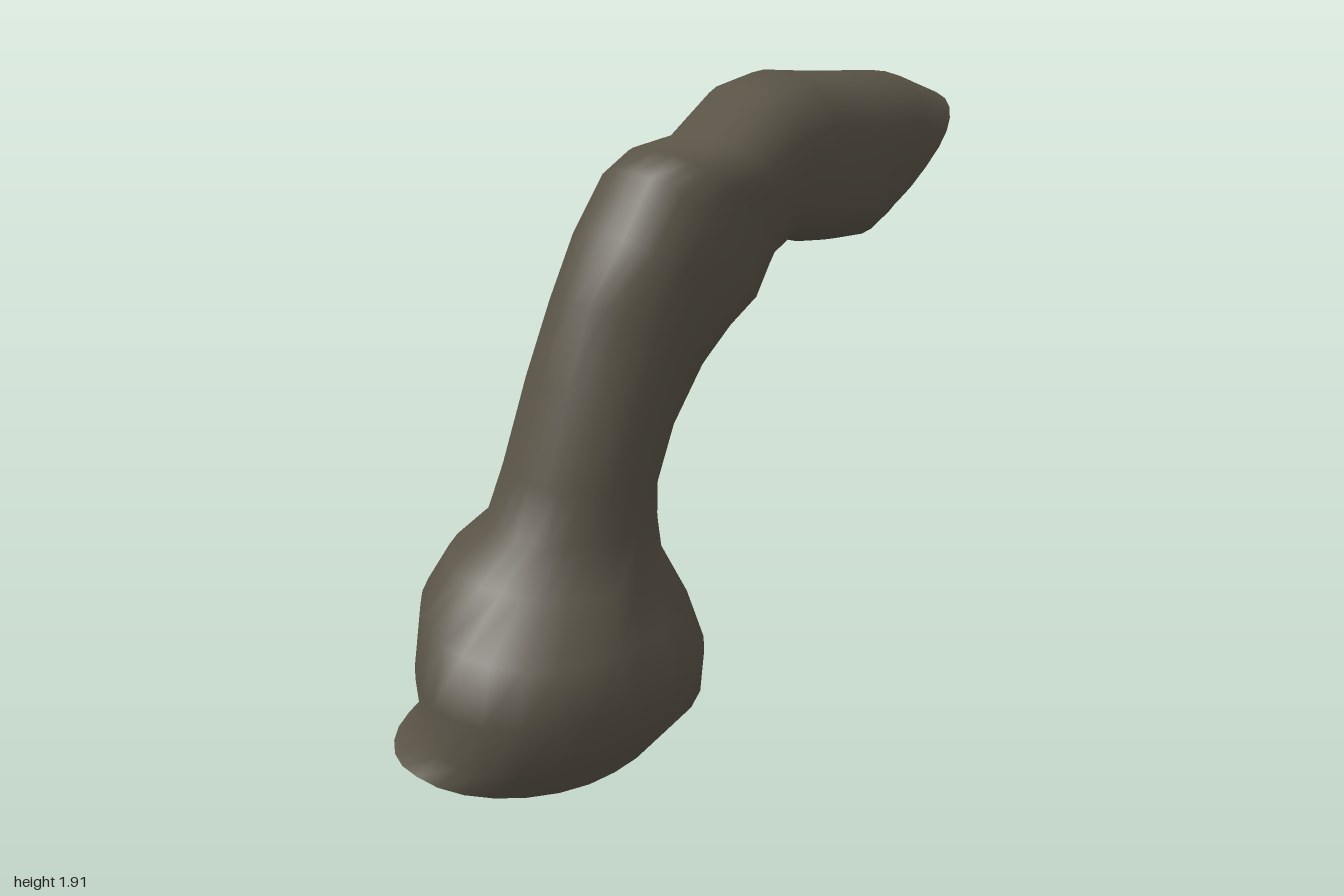
import * as THREE from 'three';

// Cross-sections from foot to mouth:
// outer edge x, y, inner edge x, y, front z, back z, front corner fullness
const SECTIONS = [
  [-1.0, 0.06, -0.05, 0.03, 0.29, -0.41, 0.2],
  [-0.95, 0.12, 0.01, 0.13, 0.37, -0.40, 0.9],
  [-0.985, 0.30, -0.02, 0.28, 0.41, -0.41, 1],
  [-0.92, 0.47, -0.05, 0.45, 0.36, -0.40, 0.8],
  [-0.76, 0.60, -0.08, 0.58, 0.28, -0.31, -0.5],
  [-0.64, 0.71, -0.13, 0.72, 0.26, -0.24, -0.3],
  [-0.59, 0.88, -0.15, 0.81, 0.26, -0.21, 0],
  [-0.50, 1.16, -0.10, 0.95, 0.27, -0.19, 0],
  [-0.42, 1.40, 0.03, 1.09, 0.28, -0.17, 0],
  [-0.32, 1.58, 0.08, 1.20, 0.31, -0.15, 0],
  [-0.20, 1.74, 0.22, 1.25, 0.31, -0.14, 0],
  [-0.09, 1.78, 0.31, 1.37, 0.30, -0.13, 0],
  [0.08, 1.79, 0.40, 1.42, 0.31, -0.10, 0],
  [0.27, 1.90, 0.46, 1.38, 0.33, -0.11, 0],
  [0.45, 1.91, 0.60, 1.35, 0.33, -0.12, 0],
  [0.65, 1.87, 0.71, 1.34, 0.34, -0.08, 0],
  [0.87, 1.84, 0.73, 1.35, 0.36, -0.04, 0],
  [0.985, 1.77, 0.73, 1.35, 0.35, -0.02, 0],
];
const SIDES = 28;
const squared = (v, power) => Math.sign(v) * Math.abs(v) ** power;

// Skin of open rings, with small dents along the bent arm
function loftGeometry() {
  const pos = [], index = [];
  const last = SECTIONS.length - 1;
  SECTIONS.forEach(([ax, ay, bx, by, zf, zb, full], i) => {
    const power = i > 8 ? 0.82 : 1; // the arm is slightly boxy
    for (let j = 0; j < SIDES; j++) {
      const t = (j / SIDES) * Math.PI * 2;
      const c = squared(Math.cos(t), power), s = squared(Math.sin(t), power);
      const arm = i > 6 && i < last ? 1 : 0.4;
      const dent = 1 + 0.035 * arm * s * s * Math.sin(i * 2.3 + t * 3) * Math.sin(t * 2 + i);
      const r = dent * (1 + full * (0.2 - 0.06 * c) * s * Math.abs(c));
      let x = (ax + bx) / 2 + (c * r * (bx - ax)) / 2;
      let y = (ay + by) / 2 + (c * r * (by - ay)) / 2;
      let z = (zf + zb) / 2 + (s * r * (zf - zb)) / 2;
      if (i === 0) y -= 0.045 * Math.max(0, s); // foot rim dips at the front
      if (i === 3 || i === 4) y -= 0.03 * s; // shoulder is lower at the front
      if (i === last - 1) z -= 0.03 * c;
      if (i === last) { // mouth rim is scooped and skewed to the front
        x += 0.06 * s - 0.04 * s * s;
        z -= 0.08 * c;
      }
      pos.push(x, Math.max(0, y), z);
      if (i < last) {
        const a = i * SIDES + j, b = i * SIDES + ((j + 1) % SIDES);
        index.push(a, a + SIDES, b, b, a + SIDES, b + SIDES);
      }
    }
  });
  const g = new THREE.BufferGeometry();
  g.setAttribute('position', new THREE.Float32BufferAttribute(pos, 3));
  g.setIndex(index);
  g.computeVertexNormals();
  return g;
}

export function createModel() {
  const group = new THREE.Group();
  group.name = 'bentPipe';
  const stone = new THREE.MeshStandardMaterial({ color: 0x5a5447, side: THREE.DoubleSide });
  stone.name = 'darkStone';
  const shell = new THREE.Mesh(loftGeometry(), stone);
  shell.name = 'hollowShell';
  group.add(shell);
  return group;
}
